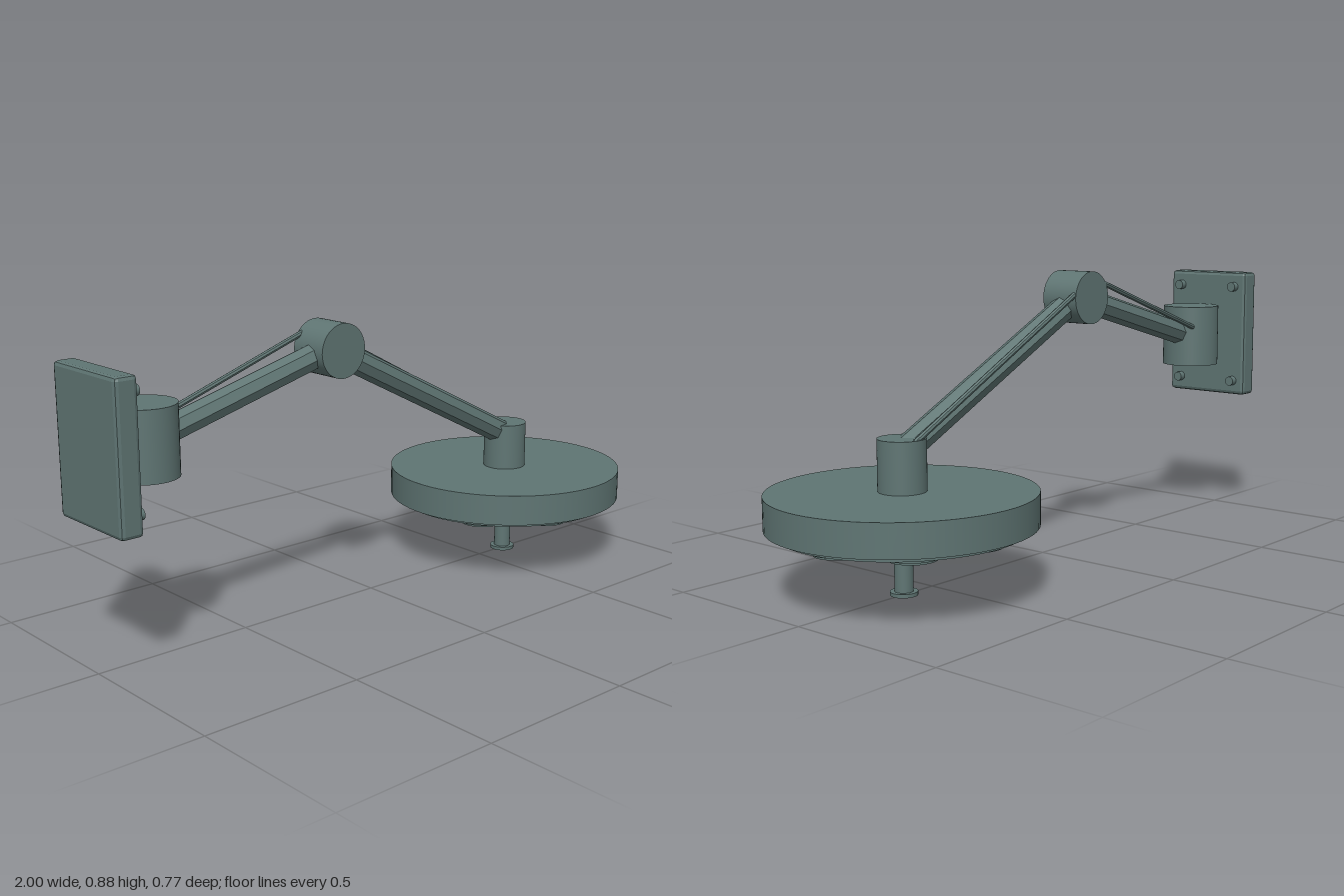
import * as THREE from 'three';
import { RoundedBoxGeometry } from 'three/addons/geometries/RoundedBoxGeometry.js';

export function createModel() {
  const model = new THREE.Group();
  model.name = 'wallLamp';
  const smooth = new THREE.MeshStandardMaterial({ color: 0x5f7573 });
  const faceted = smooth.clone();
  faceted.flatShading = true;

  const add = (name, geometry, parent = model, material = smooth) => {
    const mesh = new THREE.Mesh(geometry, material);
    mesh.name = name;
    parent.add(mesh);
    return mesh;
  };
  // Upright cylinder between two heights
  const disc = (name, r, y0, y1, x = 0, z = 0, parent = model, sides = 48) => {
    const mesh = add(name, new THREE.CylinderGeometry(r, r, y1 - y0, sides), parent);
    mesh.position.set(x, (y0 + y1) / 2, z);
    return mesh;
  };
  // Faceted bar running between two points in a plane of constant z
  const bar = (name, r, sides, [x0, y0], [x1, y1], z = 0) => {
    const mesh = add(name, new THREE.CylinderGeometry(r, r, Math.hypot(x1 - x0, y1 - y0), sides), model, faceted);
    mesh.position.set((x0 + x1) / 2, (y0 + y1) / 2, z);
    mesh.rotation.z = Math.atan2(y1 - y0, x1 - x0) - Math.PI / 2;
    return mesh;
  };

  // Wall plate with four bolts
  const plate = add('wallPlate', new RoundedBoxGeometry(0.07, 0.435, 0.31, 1, 0.012), model, faceted);
  plate.position.set(-0.965, 0.633, 0);
  for (const y of [0.465, 0.8]) {
    for (const z of [-0.11, 0.11]) {
      const bolt = add('bolt', new THREE.CylinderGeometry(0.016, 0.016, 0.03, 20));
      bolt.rotation.z = Math.PI / 2;
      bolt.position.set(-0.922, y, z);
    }
  }

  // Swivel post, elbow and the two arms
  disc('swivelPost', 0.096, 0.53, 0.735, -0.822);
  const elbow = add('elbow', new THREE.CylinderGeometry(0.083, 0.083, 0.13, 48));
  elbow.rotation.x = Math.PI / 2;
  elbow.position.set(-0.165, 0.8, 0);
  bar('lowerArm', 0.04, 8, [-0.822, 0.625], [-0.165, 0.8]);
  bar('upperArm', 0.04, 8, [-0.165, 0.8], [0.613, 0.407]);

  // Thin rods alongside the arms
  bar('lowerRod', 0.009, 8, [-0.82, 0.643], [-0.2, 0.855], -0.055);
  bar('upperRod', 0.009, 8, [-0.13, 0.835], [0.615, 0.443], -0.055);

  // Lamp head
  const head = new THREE.Group();
  head.name = 'lampHead';
  head.position.x = 0.613;
  model.add(head);
  disc('neck', 0.07, 0.3, 0.45, 0, 0, head);
  disc('housing', 0.387, 0.203, 0.3, 0, 0, head, 72);
  disc('lampPanel', 0.36, 0.19, 0.203, 0, 0, head, 72);

  // Ring of seven bulbs under the panel
  for (let i = 0; i < 7; i++) {
    const a = (i / 7) * Math.PI * 2;
    const x = 0.243 * Math.cos(a), z = 0.243 * Math.sin(a);
    disc('bulbRim', 0.08, 0.175, 0.19, x, z, head, 32);
    disc('bulbLens', 0.069, 0.167, 0.175, x, z, head, 32);
  }

  // Central handle
  disc('handleCollar', 0.051, 0.15, 0.19, 0, 0, head, 32);
  disc('handleGrip', 0.027, 0.01, 0.15, 0, 0, head, 32);
  disc('handleEnd', 0.04, 0, 0.011, 0, 0, head, 32);

  return model;
}
